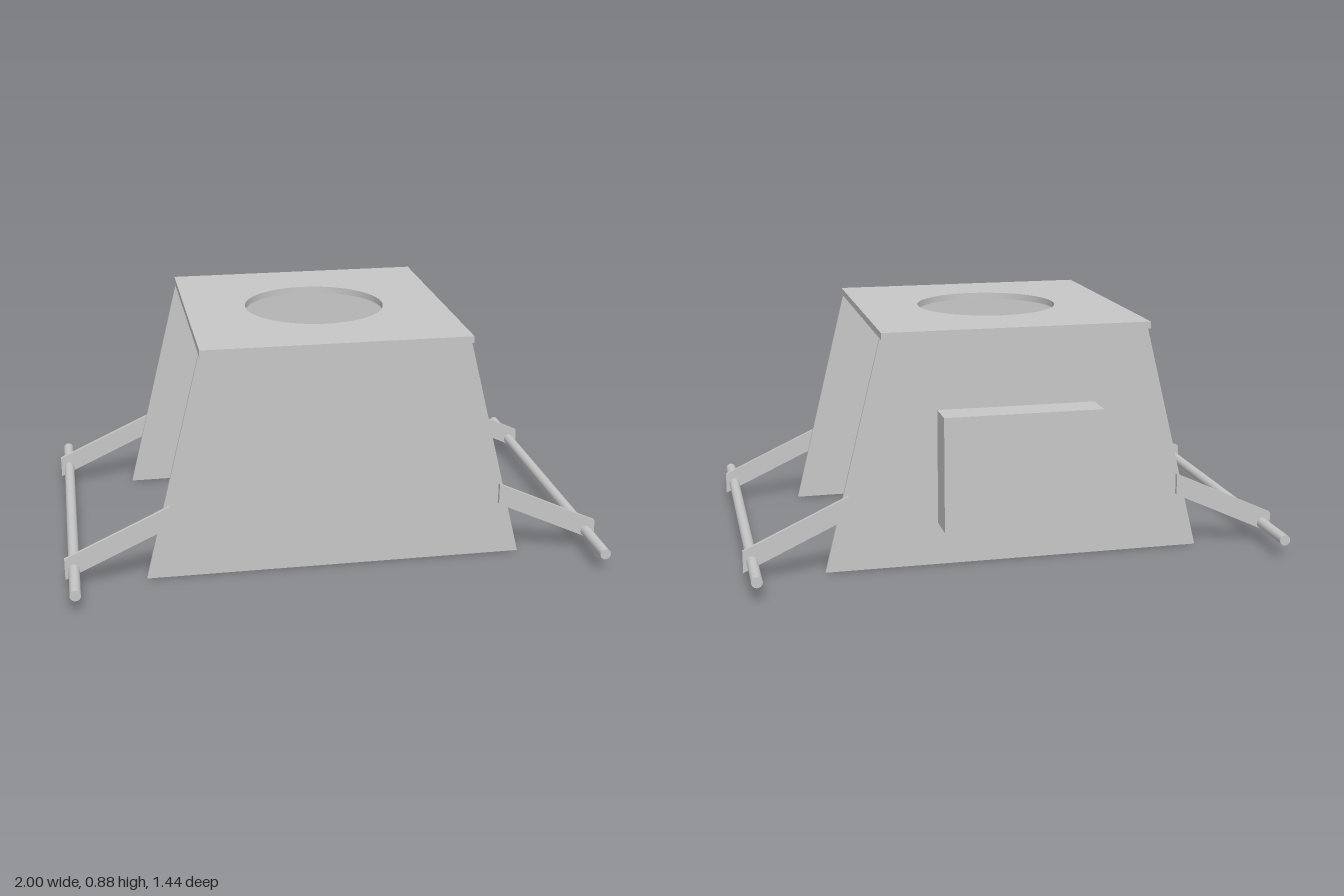
import * as THREE from 'three';

export function createModel() {
  const model = new THREE.Group();
  model.name = 'stand';
  const grey = new THREE.MeshStandardMaterial({ color: 0xc6c6c6 });
  grey.name = 'light grey';

  const add = (name, geometry, x = 0, y = 0, z = 0) => {
    const mesh = new THREE.Mesh(geometry, grey);
    mesh.name = name;
    mesh.position.set(x, y, z);
    model.add(mesh);
  };

  // Flat plate from an outline, centred on its thickness
  const plate = (shape, thickness) =>
    new THREE.ExtrudeGeometry(shape, { depth: thickness, bevelEnabled: false, curveSegments: 48 })
      .translate(0, 0, -thickness / 2);
  const outline = (points) => new THREE.Shape(points.map(([x, y]) => new THREE.Vector2(x, y)));

  // Top plate with round opening
  const top = outline([[-0.494, -0.513], [0.494, -0.513], [0.494, 0.513], [-0.494, 0.513]]);
  top.holes.push(new THREE.Path().absarc(0, 0, 0.265, 0, Math.PI * 2, true));
  add('topPlate', plate(top, 0.025).rotateX(-Math.PI / 2), 0, 0.8625, 0);

  // Tapered front and back panels
  const panel = plate(outline([[-0.705, 0], [0.705, 0], [0.494, 0.85], [-0.494, 0.85]]), 0.013);
  add('frontPanel', panel, 0, 0, 0.474);
  add('backPanel', panel, 0, 0, -0.474);

  // Box on the back panel
  add('backBox', new THREE.BoxGeometry(0.585, 0.422, 0.122), 0, 0.372, -0.55);

  // Sloping arms and the long rods they carry
  for (const [side, s] of [['left', 1], ['right', -1]]) {
    const points = [[0.617, 0.209], [1, 0.032], [1, 0.112], [0.617, 0.289]].map(([x, y]) => [s * x, y]);
    const arm = plate(outline(points), 0.015);
    add(side + 'FrontArm', arm, 0, 0, 0.498);
    add(side + 'BackArm', arm, 0, 0, -0.498);
    add(side + 'Rod', new THREE.CylinderGeometry(0.02, 0.02, 1.438, 32).rotateX(Math.PI / 2), s * 0.967, 0.072, 0);
  }
  return model;
}
